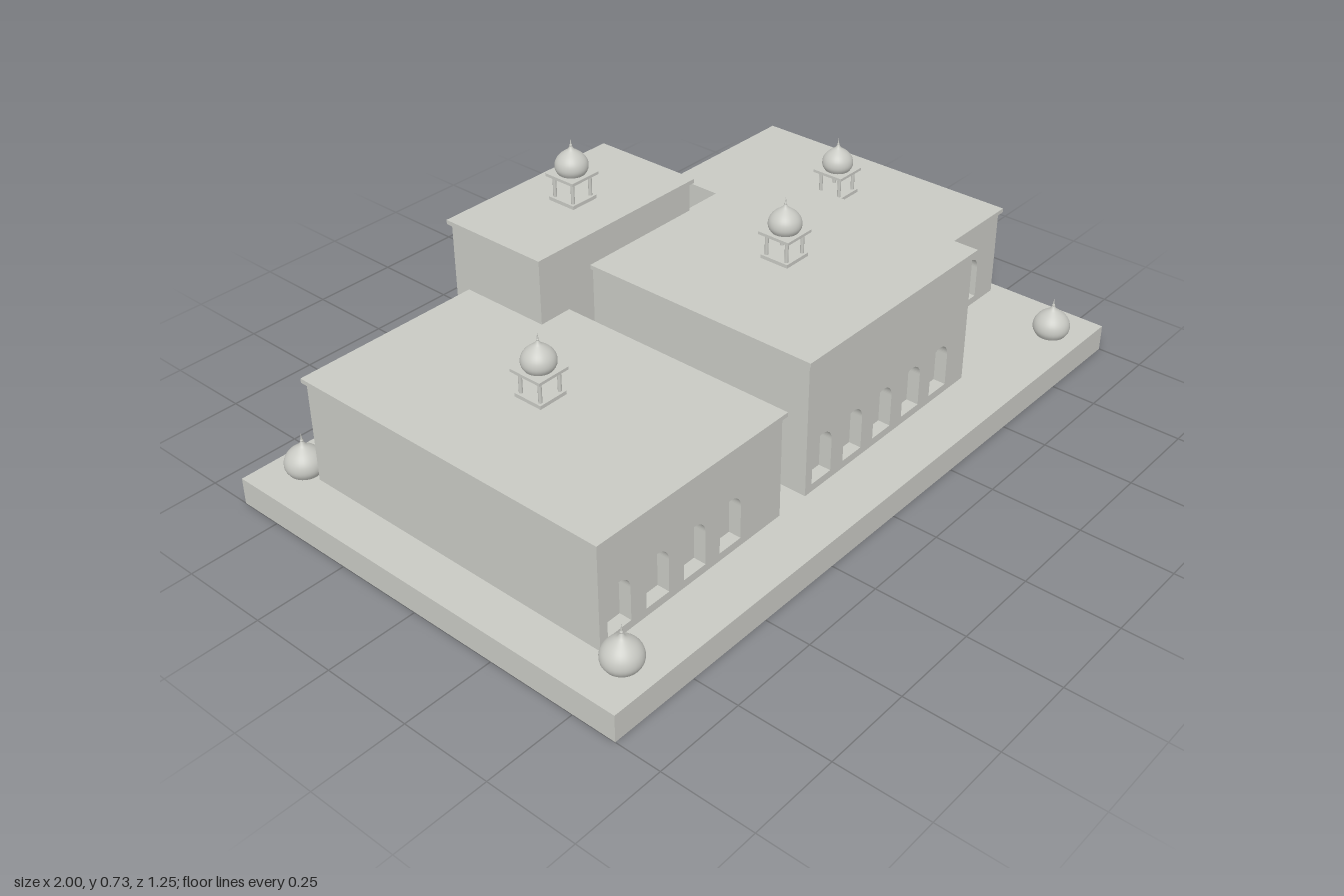
import * as THREE from 'three';

const stone = new THREE.MeshStandardMaterial({ color: 0xc8c9c3 });
stone.name = 'pale stone';

const PLINTH = 0.075, BAY = 0.125, RECESS = 0.035, EAVE = 0.009, SLAB = 0.012;

function add(parent, name, geometry, x = 0, y = 0, z = 0) {
  const mesh = new THREE.Mesh(geometry, stone);
  mesh.name = name;
  mesh.position.set(x, y, z);
  parent.add(mesh);
  return mesh;
}

// Box given by its extents
function addBox(parent, name, x0, x1, y0, y1, z0, z1) {
  return add(parent, name, new THREE.BoxGeometry(x1 - x0, y1 - y0, z1 - z0),
    (x0 + x1) / 2, (y0 + y1) / 2, (z0 + z1) / 2);
}

// Onion dome with a slim finial, standing on y = 0
function onionDome(scale) {
  const group = new THREE.Group();
  group.name = 'onionDome';
  const curve = new THREE.SplineCurve([
    [0.041, 0], [0.049, 0.013], [0.051, 0.027], [0.047, 0.043],
    [0.036, 0.058], [0.021, 0.07], [0.009, 0.079], [0.003, 0.09],
  ].map(([r, y]) => new THREE.Vector2(r, y)));
  add(group, 'domeShell', new THREE.LatheGeometry(curve.getPoints(18), 28));
  add(group, 'finialBall', new THREE.SphereGeometry(0.0045, 10, 8), 0, 0.09, 0);
  add(group, 'finialSpike', new THREE.ConeGeometry(0.003, 0.022, 8), 0, 0.102, 0);
  group.scale.setScalar(scale);
  return group;
}

// Open rooftop pavilion: slab, four columns, canopy and dome
function kiosk() {
  const group = new THREE.Group();
  group.name = 'kiosk';
  addBox(group, 'kioskBase', -0.043, 0.043, 0, 0.01, -0.043, 0.043);
  for (const sx of [-1, 1]) for (const sz of [-1, 1]) {
    add(group, 'kioskColumn', new THREE.CylinderGeometry(0.005, 0.005, 0.06, 10), sx * 0.032, 0.04, sz * 0.032);
  }
  addBox(group, 'kioskCanopy', -0.048, 0.048, 0.069, 0.077, -0.048, 0.048);
  const dome = onionDome(0.86);
  dome.position.y = 0.076;
  group.add(dome);
  return group;
}

// Round-headed niche outline
function archPath(cx, y0, width, springY) {
  const r = width / 2, path = new THREE.Path();
  path.moveTo(cx - r, y0);
  path.lineTo(cx + r, y0);
  path.lineTo(cx + r, springY);
  path.absarc(cx, springY, r, 0, Math.PI, false);
  path.lineTo(cx - r, y0);
  return path;
}

// Building block with an arcaded front, flat overhanging roof and a kiosk
function hall(name, x0, x1, z0, z1, top) {
  const group = new THREE.Group();
  group.name = name;
  const wallTop = top - SLAB;
  addBox(group, 'walls', x0, x1, PLINTH, wallTop, z0, z1 - RECESS);

  const front = new THREE.Shape([[x0, PLINTH], [x1, PLINTH], [x1, wallTop], [x0, wallTop]]
    .map(([x, y]) => new THREE.Vector2(x, y)));
  const bays = Math.floor((x1 - x0) / BAY);
  for (let i = 0; i < bays; i++) {
    front.holes.push(archPath(x0 + BAY * (i + 0.5), 0.097, 0.075, 0.19));
  }
  add(group, 'arcadedFront', new THREE.ExtrudeGeometry(front,
    { depth: RECESS, bevelEnabled: false, curveSegments: 14 }), 0, 0, z1 - RECESS);

  addBox(group, 'roofSlab', x0 - EAVE, x1 + EAVE, wallTop, top, z0 - EAVE, z1 + EAVE);
  const pavilion = kiosk();
  pavilion.position.set((x0 + x1) / 2, top, (z0 + z1) / 2);
  group.add(pavilion);
  return group;
}

export function createModel() {
  const model = new THREE.Group();
  model.name = 'palace';
  addBox(model, 'plinth', -1, 1, 0, PLINTH, -0.624, 0.624);

  model.add(
    hall('rightHall', -0.878, -0.256, -0.476, 0.469, 0.373),
    hall('centralHall', -0.157, 0.526, -0.222, 0.469, 0.466),
    hall('leftHall', 0.527, 0.965, -0.531, 0.28, 0.342),
    hall('rearTower', -0.344, 0.216, -0.531, -0.222, 0.56),
  );

  // Corner domes on the plinth
  for (const sx of [-1, 1]) for (const sz of [-1, 1]) {
    const dome = onionDome(1);
    dome.name = 'cornerDome';
    dome.position.set(sx * 0.876, PLINTH, sz * 0.532);
    model.add(dome);
  }
  return model;
}
